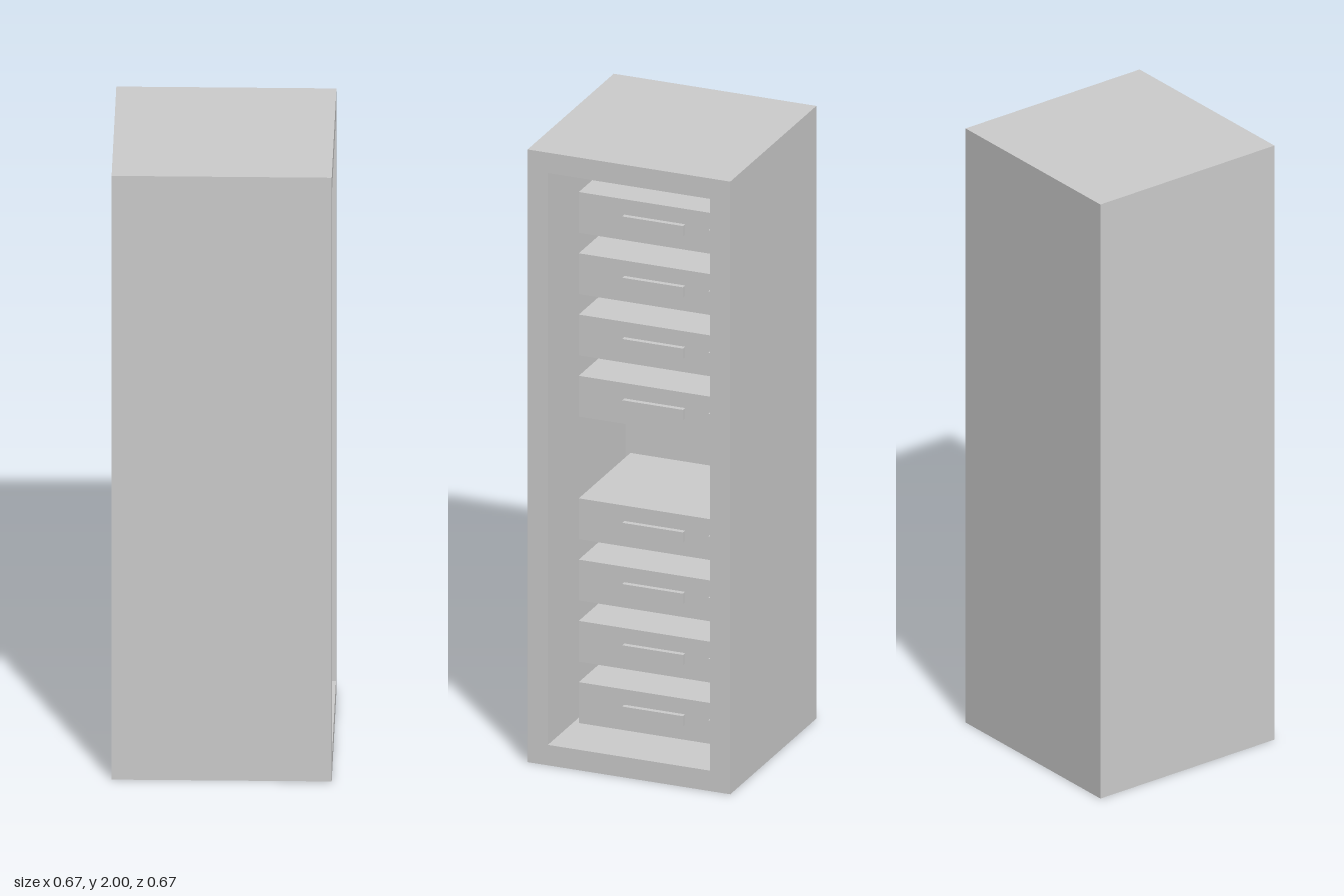
import * as THREE from 'three';

const U = 1 / 15; // wall thickness, base unit of the cabinet
const W = 10 * U; // cabinet width and depth
const H = 2;

export function createModel() {
  const root = new THREE.Group();
  root.name = 'serverCabinet';
  const mat = new THREE.MeshStandardMaterial({ color: 0xcccccc, flatShading: true });

  const add = (parent, name, geometry, x, y, z) => {
    const mesh = new THREE.Mesh(geometry, mat);
    mesh.name = name;
    mesh.position.set(x, y, z);
    parent.add(mesh);
  };

  // Cabinet walls: a rectangular tube, open towards +x
  const outline = new THREE.Shape([
    new THREE.Vector2(-W / 2, 0), new THREE.Vector2(W / 2, 0),
    new THREE.Vector2(W / 2, H), new THREE.Vector2(-W / 2, H),
  ]);
  const inner = W / 2 - U;
  outline.holes.push(new THREE.Path([
    new THREE.Vector2(-inner, U), new THREE.Vector2(-inner, H - U),
    new THREE.Vector2(inner, H - U), new THREE.Vector2(inner, U),
  ]));
  const walls = new THREE.ExtrudeGeometry(outline, { depth: W - U, bevelEnabled: false });
  walls.rotateY(Math.PI / 2);
  add(root, 'cabinetWalls', walls, -inner, 0, 0);

  // Panel closing the cabinet opposite the opening
  add(root, 'backPanel', new THREE.BoxGeometry(U, H, W), -W / 2 + U / 2, H / 2, 0);

  // Rack units, recessed in the cabinet, with the middle slot left empty
  const depth = 6 * U;
  const face = 2 * U;
  const knob = U / 4;
  const body = new THREE.BoxGeometry(depth, 2 * U, 0.5);
  const handle = new THREE.BoxGeometry(knob, U / 2, 0.2);
  const button = new THREE.BoxGeometry(knob, U / 2, U / 2);
  for (let slot = 0; slot < 9; slot++) {
    if (slot === 4) continue;
    const unit = new THREE.Group();
    unit.name = 'rackUnit' + (slot + 1);
    unit.position.y = 2 * U + slot * 0.2;
    add(unit, 'unitBody', body, face - depth / 2, 0, 0);
    add(unit, 'unitHandle', handle, face + knob / 2, 0, 0);
    add(unit, 'unitButton', button, face + knob / 2, 0, -0.2);
    root.add(unit);
  }
  return root;
}
